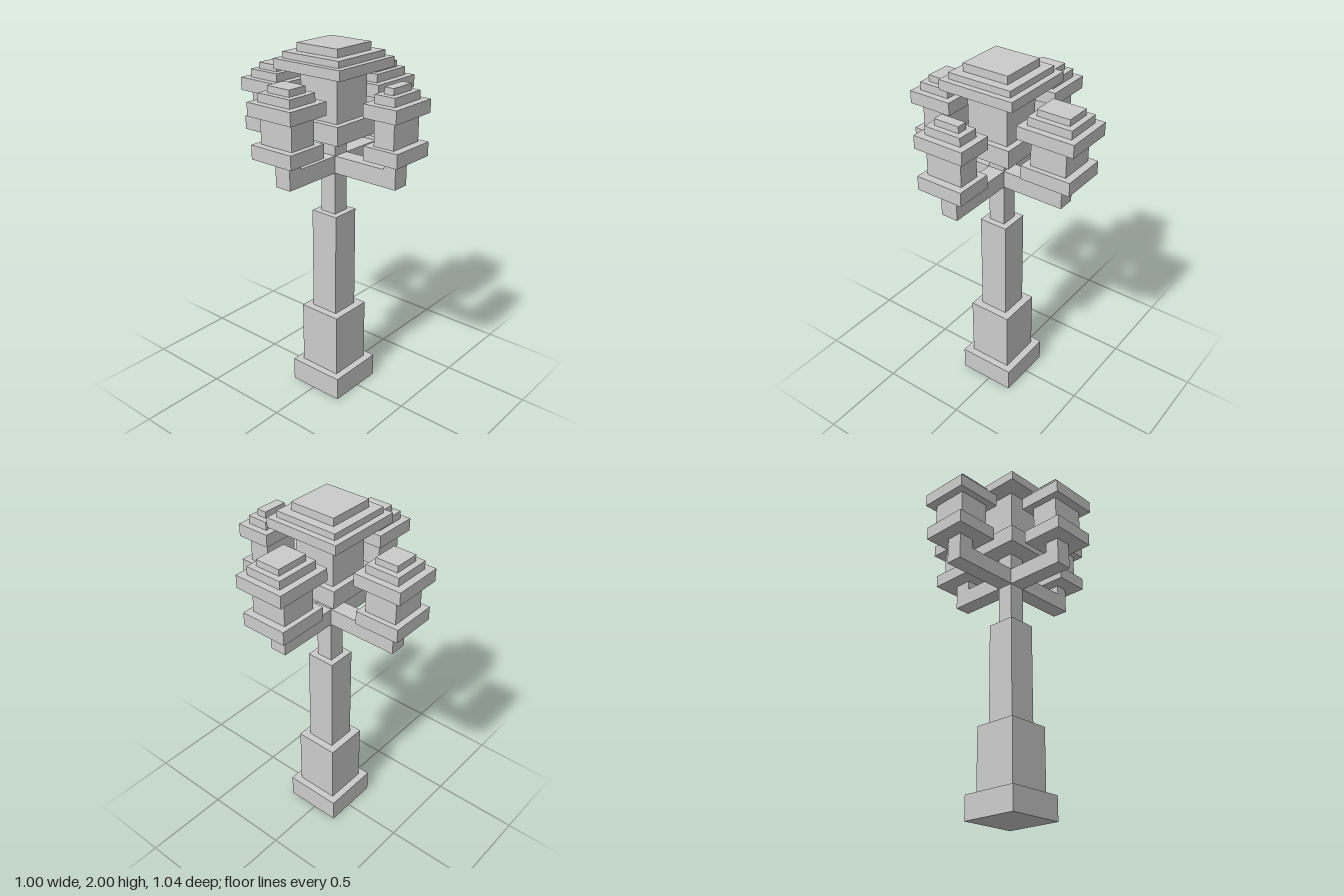
import * as THREE from 'three';

const material = new THREE.MeshStandardMaterial({ color: 0xcccccc, flatShading: true });
const CX = -0.0185, CZ = 0.015; // axis of the post

// Box from centre x/z, half widths and a height range
function block(parent, name, x, z, hx, hz, y0, y1) {
  const mesh = new THREE.Mesh(new THREE.BoxGeometry(hx * 2, y1 - y0, hz * 2), material);
  mesh.name = name;
  mesh.position.set(x, (y0 + y1) / 2, z);
  parent.add(mesh);
}

// Lantern layers: name, bottom, top
const LAYERS = [
  ['lanternTray', 1.475, 1.55],
  ['lanternBody', 1.55, 1.70],
  ['lanternRoof', 1.695, 1.765],
  ['lanternRoofStep', 1.765, 1.81],
  ['lanternFinial', 1.81, 1.845],
];
const ACROSS = [0.132, 0.103, 0.143, 0.105, 0.072]; // half widths across the arm

// Arms: axis, lantern centre, upright half depth, layer half depths along the arm
const ARMS = [
  { name: 'left', axis: 'x', at: 0.333, post: 0.05, along: [0.143, 0.102, 0.162, 0.125, 0.093] },
  { name: 'right', axis: 'x', at: -0.372, post: 0.041, along: [0.12, 0.08, 0.128, 0.09, 0.058] },
  { name: 'front', axis: 'z', at: 0.416, post: 0.036, along: [0.103, 0.06, 0.098, 0.06, 0.028] },
  { name: 'back', axis: 'z', at: -0.387, post: 0.045, along: [0.126, 0.091, 0.136, 0.096, 0.064] },
];

export function createModel() {
  const model = new THREE.Group();
  model.name = 'streetLamp';

  // Stepped post and central lantern, bottom to top
  [
    ['base', 0.167, 0, 0.135],
    ['pedestal', 0.126, 0.135, 0.5],
    ['lowerPost', 0.083, 0.5, 1.09],
    ['upperPost', 0.048, 1.09, 1.52],
    ['centreTray', 0.154, 1.52, 1.62],
    ['centreBody', 0.12, 1.62, 1.87],
    ['centreRoof', 0.218, 1.87, 1.923],
    ['centreRoofStep', 0.184, 1.923, 1.957],
    ['centreFinial', 0.133, 1.957, 2],
  ].forEach(([name, h, y0, y1]) => block(model, name, CX, CZ, h, h, y0, y1));

  // Four arms, each with an upright and a lantern
  for (const { name, axis, at, post, along } of ARMS) {
    const arm = new THREE.Group();
    arm.name = name + 'Arm';
    const put = (part, pos, ha, hw, y0, y1) => axis === 'x'
      ? block(arm, part, pos, CZ, ha, hw, y0, y1)
      : block(arm, part, CX, pos, hw, ha, y0, y1);

    const s = Math.sign(at);
    const inner = (axis === 'x' ? CX : CZ) + s * 0.048;
    const outer = at + s * post;
    put('armBeam', (inner + outer) / 2, Math.abs(outer - inner) / 2, 0.048, 1.325, 1.42);
    put('armUpright', at, post, 0.048, 1.42, 1.475);
    LAYERS.forEach(([part, y0, y1], i) => put(part, at, along[i], ACROSS[i], y0, y1));
    model.add(arm);
  }
  return model;
}
